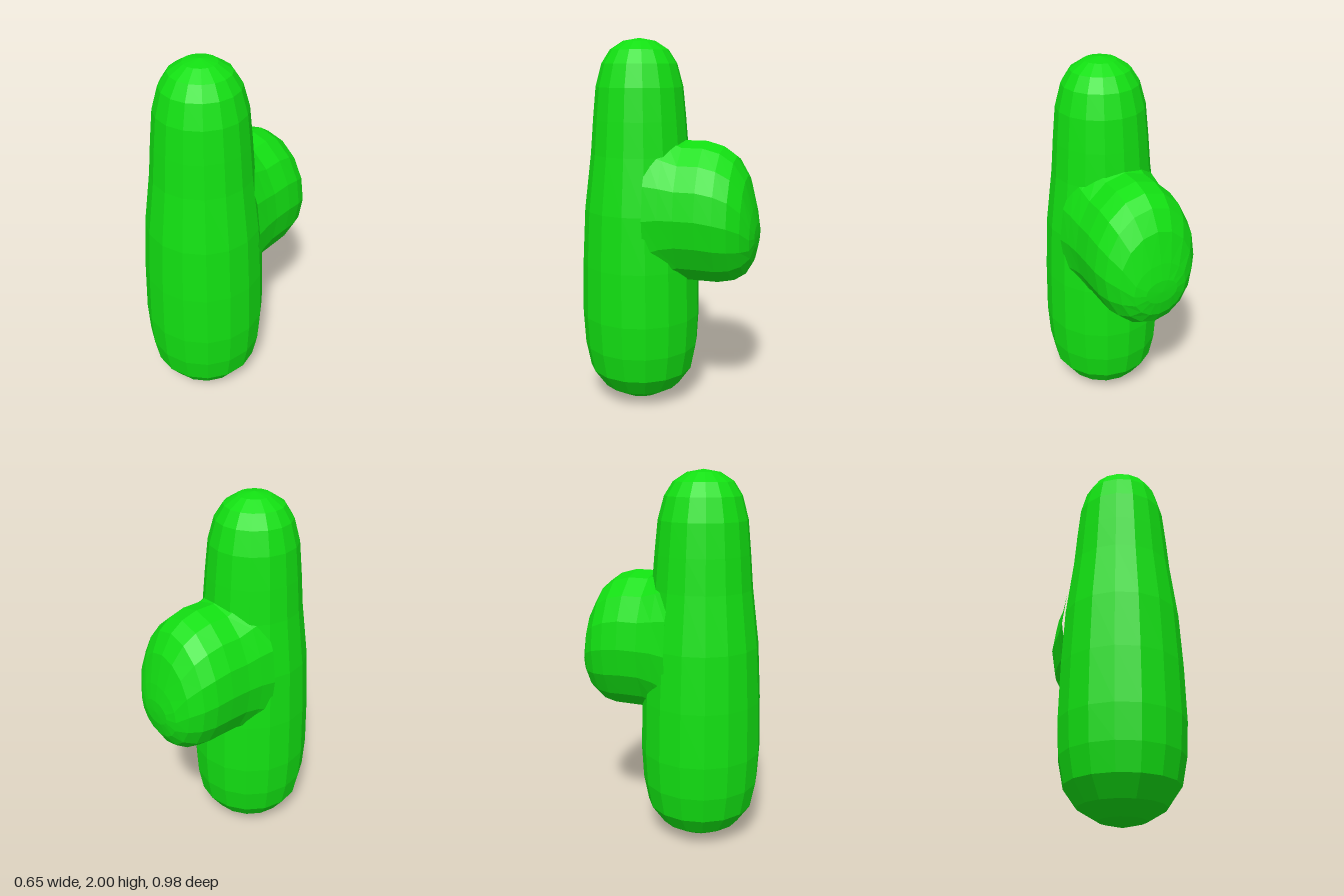
import * as THREE from 'three';

const SIDES = 16;

// Joins elliptical rings [z, half width, bottom y, top y], listed from front to back
function loftAlongZ(rings) {
  const pos = [], index = [];
  rings.forEach(([z, w, lo, hi]) => {
    for (let i = 0; i < SIDES; i++) {
      const a = (i / SIDES) * Math.PI * 2;
      pos.push(w * Math.cos(a), (lo + hi) / 2 + ((hi - lo) / 2) * Math.sin(a), z);
    }
  });
  for (let s = 0; s < rings.length - 1; s++) {
    for (let i = 0; i < SIDES; i++) {
      const j = (i + 1) % SIDES;
      const a = s * SIDES + i, b = s * SIDES + j, c = b + SIDES, d = a + SIDES;
      index.push(a, d, b, b, d, c);
    }
  }
  const geo = new THREE.BufferGeometry();
  geo.setAttribute('position', new THREE.Float32BufferAttribute(pos, 3));
  geo.setIndex(index);
  geo.computeVertexNormals();
  return geo;
}

export function createModel() {
  const group = new THREE.Group();
  const green = new THREE.MeshStandardMaterial({ color: 0x12e012, flatShading: true });

  // Tall tapered body with rounded ends
  const profile = [
    [0, 0], [0.12, 0.03], [0.22, 0.09], [0.29, 0.19], [0.317, 0.33], [0.327, 0.51],
    [0.32, 0.8], [0.303, 1.1], [0.265, 1.4], [0.25, 1.58], [0.233, 1.75],
    [0.2, 1.87], [0.155, 1.94], [0.085, 1.985], [0, 2],
  ].map(([r, y]) => new THREE.Vector2(r, y));
  const body = new THREE.Mesh(new THREE.LatheGeometry(profile, SIDES), green);
  body.name = 'body';
  body.position.z = 0.163;
  group.add(body);

  // Rounded hump on the back, flaring slightly where it meets the body
  const hump = new THREE.Mesh(loftAlongZ([
    [0.06, 0.3, 0.62, 1.55],
    [-0.02, 0.292, 0.68, 1.51],
    [-0.1, 0.286, 0.715, 1.475],
    [-0.21, 0.286, 0.715, 1.475],
    [-0.3, 0.28, 0.715, 1.45],
    [-0.37, 0.258, 0.73, 1.4],
    [-0.43, 0.21, 0.77, 1.3],
    [-0.47, 0.15, 0.84, 1.14],
    [-0.487, 0.09, 0.92, 1.05],
    [-0.49, 0, 0.985, 0.985],
  ]), green);
  hump.name = 'backHump';
  group.add(hump);

  return group;
}
